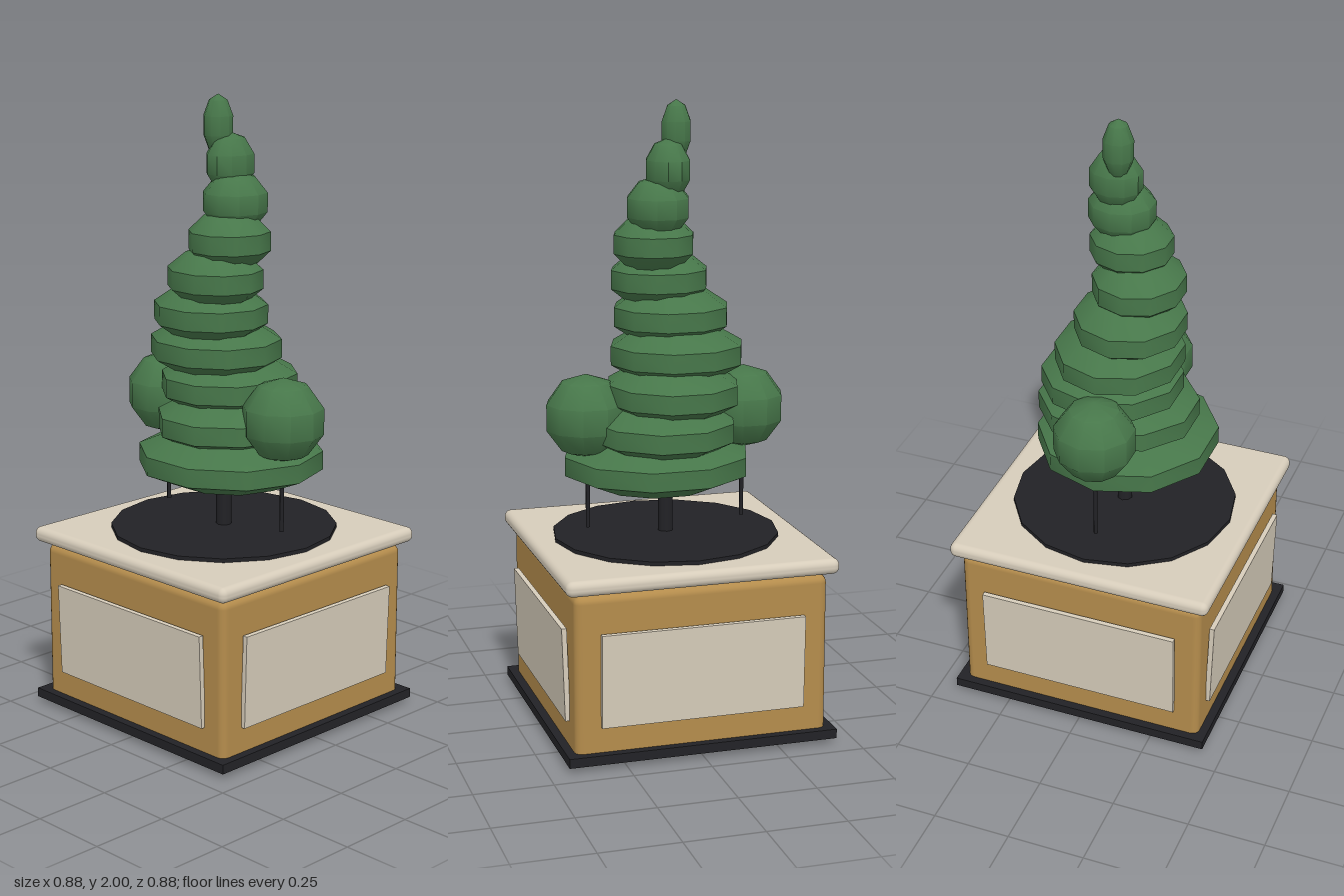
import * as THREE from 'three';
import { toCreasedNormals } from 'three/addons/utils/BufferGeometryUtils.js';
import { RoundedBoxGeometry } from 'three/addons/geometries/RoundedBoxGeometry.js';

const material = (color) => new THREE.MeshStandardMaterial({ color });

export function createModel() {
  const model = new THREE.Group();
  const gold = material(0xb48c4c);
  const cream = material(0xd6ccba);
  const dark = material(0x222226);
  const green = material(0x47774a);

  const add = (name, geometry, mat, x, y, z, parent = model) => {
    const mesh = new THREE.Mesh(geometry, mat);
    mesh.name = name;
    mesh.position.set(x, y, z);
    parent.add(mesh);
    return mesh;
  };

  // Ten-sided foliage clump; squashed clumps get crisp band edges
  const clump = (rx, ry, rz) => {
    const geometry = new THREE.SphereGeometry(1, 10, 5).scale(rx / 0.951, ry, rz / 0.951);
    return toCreasedNormals(geometry, 0.7);
  };

  // Square planter: base, body, rim and soil
  add('planterBase', new THREE.BoxGeometry(0.87, 0.03, 0.87), dark, 0, 0.033, 0);
  add('planterBody', new RoundedBoxGeometry(0.815, 0.55, 0.815, 2, 0.025), gold, 0, 0.275, 0);
  add('planterRim', new RoundedBoxGeometry(0.876, 0.05, 0.876, 3, 0.022), cream, 0, 0.583, 0);
  add('soil', new THREE.CylinderGeometry(0.365, 0.365, 0.025, 16), dark, 0, 0.608, 0);

  // One pale panel on each of the four sides, leaning out slightly at the top
  for (let i = 0; i < 4; i++) {
    const side = new THREE.Group();
    side.name = 'panelSide';
    side.rotation.y = i * Math.PI / 2;
    const panel = add('panel', new THREE.BoxGeometry(0.655, 0.3, 0.016), cream, 0, 0.28, 0.417, side);
    panel.rotation.x = 0.03;
    model.add(side);
  }

  // Trunk
  add('trunk', new THREE.CylinderGeometry(0.025, 0.025, 0.25, 8), dark, 0, 0.725, 0);

  // Stacked foliage tiers: [x, z, radius along x, radius along z]
  const tiers = [
    [0.03, 0, 0.302, 0.292],
    [0.02, -0.028, 0.235, 0.262],
    [-0.012, -0.037, 0.213, 0.228],
    [-0.037, -0.002, 0.217, 0.203],
    [-0.028, 0.03, 0.188, 0.175],
    [0.007, 0.045, 0.158, 0.145],
    [0.035, 0.01, 0.13, 0.13],
    [0.03, -0.02, 0.1, 0.105],
    [0, -0.028, 0.07, 0.083],
    [-0.033, -0.008, 0.047, 0.047],
  ];
  tiers.forEach(([x, z, rx, rz], i) => {
    // Undo the flat-band factor along x, where a corner of the decagon points
    add('foliageTier', clump(rx, 0.097, rz), green, x, 0.853 + i * 0.1167, z);
  });

  // Round side bushes on thin stems
  for (const s of [-1, 1]) {
    add('sideStem', new THREE.CylinderGeometry(0.007, 0.007, 0.28, 6), dark, s * 0.258, 0.79, 0);
    add('sideBush', clump(0.128, 0.135, 0.128), green, s * 0.262, 1.015, 0);
  }

  return model;
}
